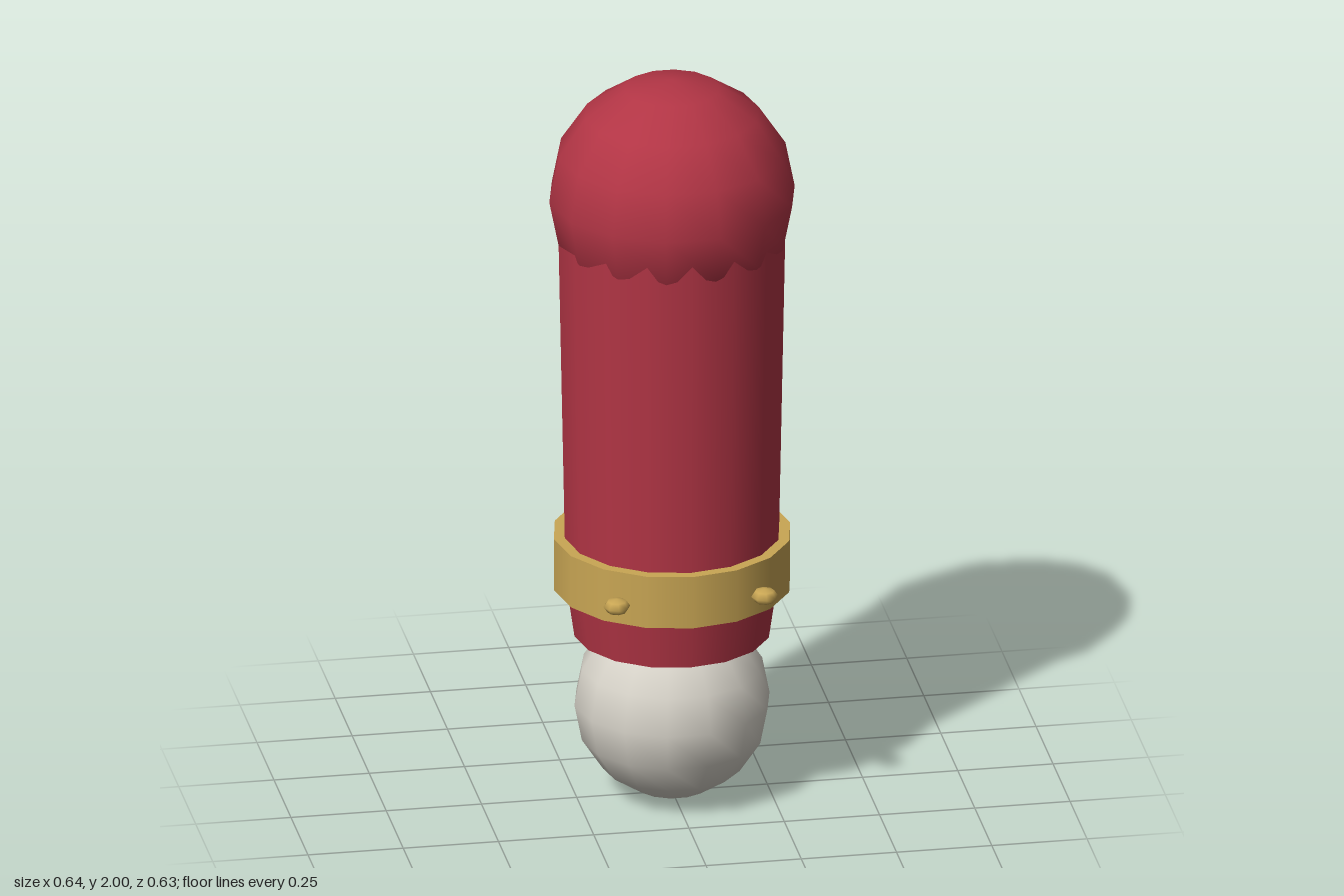
import * as THREE from 'three';

const mat = (name, color) => {
  const m = new THREE.MeshStandardMaterial({ color });
  m.name = name;
  return m;
};

export function createModel() {
  const arm = new THREE.Group();
  arm.name = 'arm';

  const red = mat('sleeve red', 0xb23545);
  const brass = mat('brass', 0xc9a654);
  const white = mat('glove white', 0xd6d2c8);

  const add = (name, geometry, material, x, y, z) => {
    const mesh = new THREE.Mesh(geometry, material);
    mesh.name = name;
    mesh.position.set(x, y, z);
    arm.add(mesh);
    return mesh;
  };
  // Upright tapered cylinder between two heights
  const tube = (name, material, rTop, rBottom, y0, y1) =>
    add(name, new THREE.CylinderGeometry(rTop, rBottom, y1 - y0, 16), material, 0, (y0 + y1) / 2, 0);

  // Shoulder ball and sleeve
  add('shoulder', new THREE.SphereGeometry(0.322, 14, 8), red, 0, 1.678, 0);
  tube('upperSleeve', red, 0.3, 0.28, 0.66, 1.68);
  tube('lowerSleeve', red, 0.286, 0.256, 0.455, 0.66);

  // Cuff band with two buttons on the front
  tube('cuff', brass, 0.31, 0.31, 0.588, 0.732);
  for (const side of [-1, 1]) {
    const button = add('button', new THREE.SphereGeometry(0.035, 8, 4), brass, side * 0.194, 0.65, 0.275);
    button.scale.y = 0.6;
  }

  // Rounded hand
  add('hand', new THREE.SphereGeometry(0.256, 14, 8), white, 0, 0.26, 0).scale.y = 1.01;

  return arm;
}
